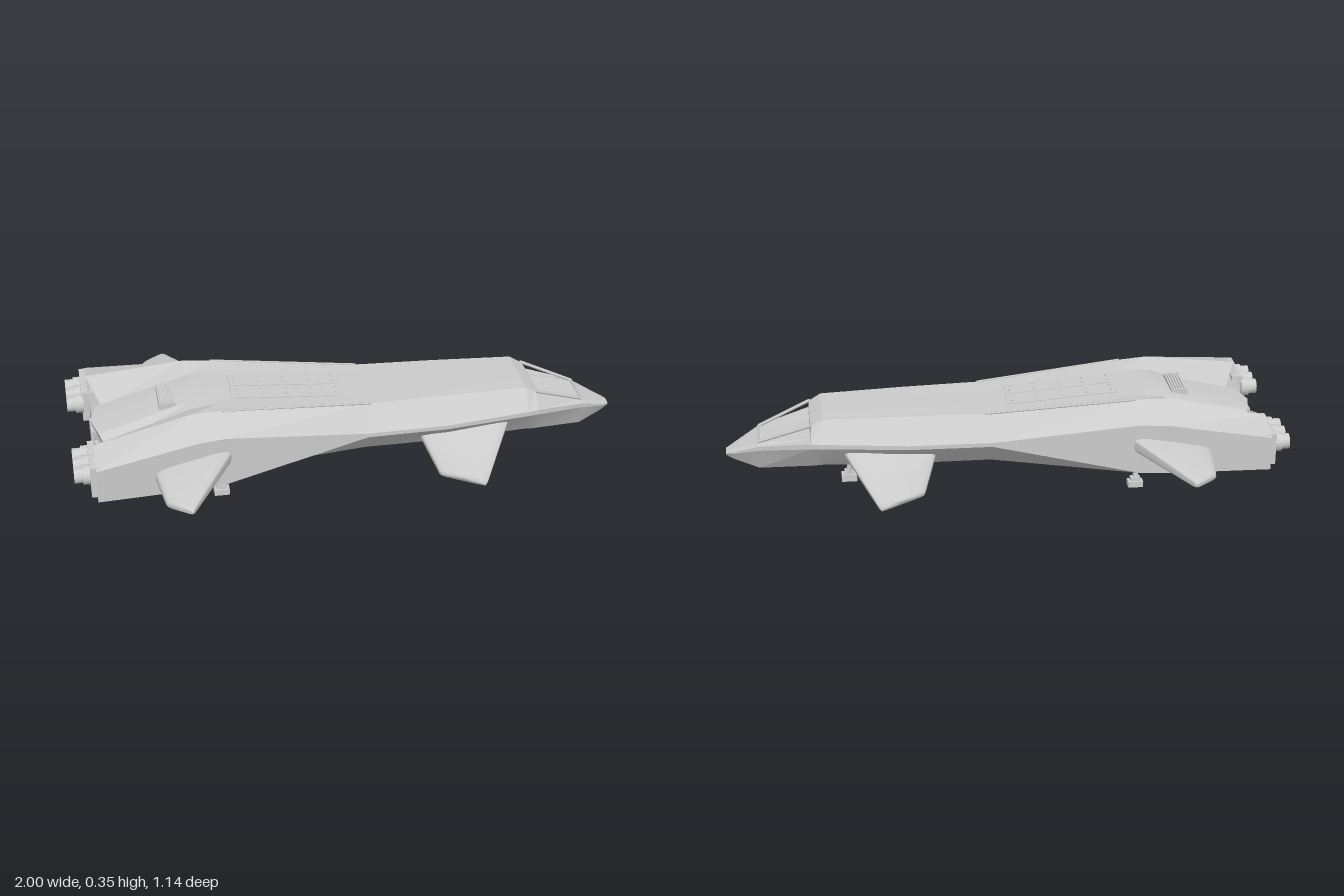
import * as THREE from 'three';
import { toCreasedNormals } from 'three/addons/utils/BufferGeometryUtils.js';

const material = new THREE.MeshStandardMaterial({ color: 0xcccccc });
const V = (x, y, z) => new THREE.Vector3(x, y, z);

// Skin closed rings of points, with a fan at both ends
function loft(rings, crease) {
  const pos = [], n = rings[0].length;
  const tri = (...p) => p.forEach(v => pos.push(v.x, v.y, v.z));
  const middle = ring => ring.reduce((s, p) => s.add(p), V(0, 0, 0)).divideScalar(n);
  const first = rings[0], last = rings[rings.length - 1];
  const c0 = middle(first), c1 = middle(last);
  for (let j = 0; j < n; j++) {
    const k = (j + 1) % n;
    for (let i = 0; i < rings.length - 1; i++) {
      const a = rings[i], b = rings[i + 1];
      tri(a[j], a[k], b[j]);
      tri(a[k], b[k], b[j]);
    }
    tri(c0, first[k], first[j]);
    tri(c1, last[j], last[k]);
  }
  const geo = new THREE.BufferGeometry();
  geo.setAttribute('position', new THREE.Float32BufferAttribute(pos, 3));
  geo.computeVertexNormals();
  return toCreasedNormals(geo, crease);
}

// Hull section: raised deck, valley, ridge, shoulder, chine and keel edge, mirrored in z
function hullRing([x, top, ridgeZ, ridgeY, sideZ, sideY, chineY, keelY]) {
  const dip = Math.max(0, -0.5 - x) * 0.083;
  const notch = Math.max(0, -0.9 - x);
  const half = [
    V(x + notch, top, ridgeZ * 0.4),
    V(x + 2 * notch, top - dip, ridgeZ * 0.62),
    V(x, ridgeY, ridgeZ),
    V(x, sideY, sideZ),
    V(x, chineY, sideZ),
    V(x, keelY, sideZ * 0.65),
  ];
  const mirrored = half.map(p => V(p.x, p.y, -p.z)).reverse();
  return [V(x, top, 0), ...half, V(x, keelY, 0), ...mirrored];
}

// Blunt tapered wing between a root chord and a tip chord; s mirrors it in z
function wing(root, tip, normal, s) {
  const ring = (f, shrink) => {
    const te = root.te.clone().lerp(tip.te, f), le = root.le.clone().lerp(tip.le, f);
    const th = THREE.MathUtils.lerp(root.half, tip.half, f) * shrink;
    const mid = te.clone().add(le).multiplyScalar(0.5);
    const chord = le.sub(te).multiplyScalar(0.46 + 0.04 * shrink);
    return Array.from({ length: 20 }, (_, i) => {
      const t = s * i / 20 * Math.PI * 2, c = Math.cos(t), q = -Math.sin(t);
      const p = mid.clone()
        .addScaledVector(chord, Math.sign(q) * Math.abs(q) ** 0.45)
        .addScaledVector(normal, th * Math.sign(c) * Math.abs(c) ** 0.6);
      p.z *= s;
      return p;
    });
  };
  return loft([ring(0, 1), ring(0.94, 1), ring(0.98, 0.8), ring(1, 0.4)], 0.6);
}

export function createModel() {
  const model = new THREE.Group();
  const add = (name, geo, x = 0, y = 0, z = 0) => {
    const mesh = new THREE.Mesh(geo, material);
    mesh.name = name;
    mesh.position.set(x, y, z);
    model.add(mesh);
    return mesh;
  };
  const box = (name, w, h, d, x, y, z) => add(name, new THREE.BoxGeometry(w, h, d), x, y, z);
  const bar = (name, a, b, r, sides = 6) => {
    const mesh = add(name, new THREE.CylinderGeometry(r, r, a.distanceTo(b), sides));
    mesh.position.copy(a).lerp(b, 0.5);
    mesh.quaternion.setFromUnitVectors(V(0, 1, 0), b.clone().sub(a).normalize());
  };

  // Hull stations: x, top, ridge z and y, side z, shoulder y, chine y, keel y
  const stations = [
    [-0.925, 0.25, 0.25, 0.295, 0.375, 0.262, 0.14, 0.13],
    [-0.57, 0.338, 0.197, 0.355, 0.303, 0.294, 0.109, 0.105],
    [-0.47, 0.343, 0.188, 0.351, 0.28, 0.291, 0.105, 0.1],
    [0.05, 0.305, 0.148, 0.305, 0.215, 0.22, 0.205, 0.12],
    [0.35, 0.303, 0.135, 0.303, 0.212, 0.222, 0.207, 0.12],
    [0.65, 0.299, 0.12, 0.298, 0.177, 0.227, 0.21, 0.12],
    [0.69, 0.277, 0.115, 0.275, 0.168, 0.226, 0.208, 0.115],
    [0.695, 0.223, 0.115, 0.224, 0.166, 0.226, 0.207, 0.115],
    [0.88, 0.2, 0.07, 0.2, 0.095, 0.194, 0.178, 0.095],
    [0.97, 0.16, 0.03, 0.159, 0.045, 0.153, 0.147, 0.12],
    [1, 0.146, 0.015, 0.145, 0.022, 0.142, 0.138, 0.131],
  ];
  add('hull', loft(stations.map(hullRing), 0.2));

  // Open canopy frame
  bar('canopyRearBar', V(0.69, 0.275, -0.115), V(0.69, 0.275, 0.115), 0.005);
  bar('canopyFrontBar', V(0.88, 0.202, -0.07), V(0.88, 0.202, 0.07), 0.005);

  const roofY = x => 0.309 - x * 0.0731;
  for (const s of [-1, 1]) {
    // Roof bay doors follow the slope of the roof
    box('bayDoor', 0.4, 0.006, 0.085, -0.22, roofY(-0.22), s * 0.045).rotation.z = -0.073;
    for (let i = 0; i < 10; i++) {
      const x = -0.4 + Math.floor(i / 2) * 0.09;
      box('doorFastener', 0.008, 0.006, 0.008, x, roofY(x) + 0.004, s * (i % 2 ? 0.065 : 0.025));
    }
    bar('roofRail', V(-0.47, 0.351, s * 0.188), V(0.07, 0.305, s * 0.147), 0.004);
    bar('canopySideBar', V(0.69, 0.275, s * 0.115), V(0.88, 0.202, s * 0.07), 0.006);

    // Rear wings and drooping forward fins
    add('rearWing', wing(
      { te: V(-0.73, 0.19, 0.27), le: V(-0.445, 0.212, 0.27), half: 0.036 },
      { te: V(-0.7, 0.185, 0.5), le: V(-0.615, 0.185, 0.57), half: 0.016 }, V(0, 1, 0), s));
    add('forwardFin', wing(
      { te: V(0.24, 0.18, 0.15), le: V(0.59, 0.19, 0.14), half: 0.028 },
      { te: V(0.3, 0.065, 0.29), le: V(0.46, 0.035, 0.342), half: 0.016 }, V(0, 0.81, 0.59), s));

    // Engine pod ends with three stepped nozzles each
    box('engineHousing', 0.04, 0.115, 0.19, -0.925, 0.21, s * 0.265);
    for (let i = 0; i < 3; i++) {
      const z = s * (0.185 + i * 0.065);
      bar('nozzleCollar', V(-0.94, 0.22, z), V(-0.97, 0.22, z), 0.035, 16);
      const rim = [[0, 0], [0.028, 0], [0.028, 0.04], [0.021, 0.04], [0.017, 0.015], [0, 0.015]];
      const profile = rim.map(p => new THREE.Vector2(...p));
      const nozzle = toCreasedNormals(new THREE.LatheGeometry(profile, 16), 0.5);
      add('engineNozzle', nozzle, -0.96, 0.22, z).rotation.z = Math.PI / 2;
    }

    // Rear landing legs
    bar('rearLegStrut', V(-0.48, 0.115, s * 0.142), V(-0.48, 0.025, s * 0.167), 0.01, 10);
    bar('rearLegBrace', V(-0.5, 0.11, s * 0.145), V(-0.475, 0.06, s * 0.158), 0.006, 8);
    box('rearFoot', 0.055, 0.022, 0.036, -0.478, 0.011, s * 0.168);
    box('rearAnkle', 0.035, 0.014, 0.024, -0.478, 0.028, s * 0.166);
  }

  // Front landing leg
  bar('frontLegStrut', V(0.535, 0.13, 0), V(0.56, 0.03, 0), 0.011, 10);
  bar('frontLegBrace', V(0.565, 0.125, 0), V(0.555, 0.07, 0), 0.006, 8);
  box('frontFoot', 0.056, 0.026, 0.038, 0.557, 0.013, 0);
  box('frontAnkle', 0.035, 0.016, 0.024, 0.557, 0.033, 0);

  // Rear roof vent with slats
  box('roofVent', 0.06, 0.025, 0.15, -0.65, 0.322, 0);
  for (let i = 0; i < 5; i++) box('ventSlat', 0.006, 0.006, 0.14, -0.67 + i * 0.01, 0.336, 0);

  // Tail block between the pods
  box('tailBlock', 0.05, 0.07, 0.09, -0.9, 0.195, 0);
  return model;
}
